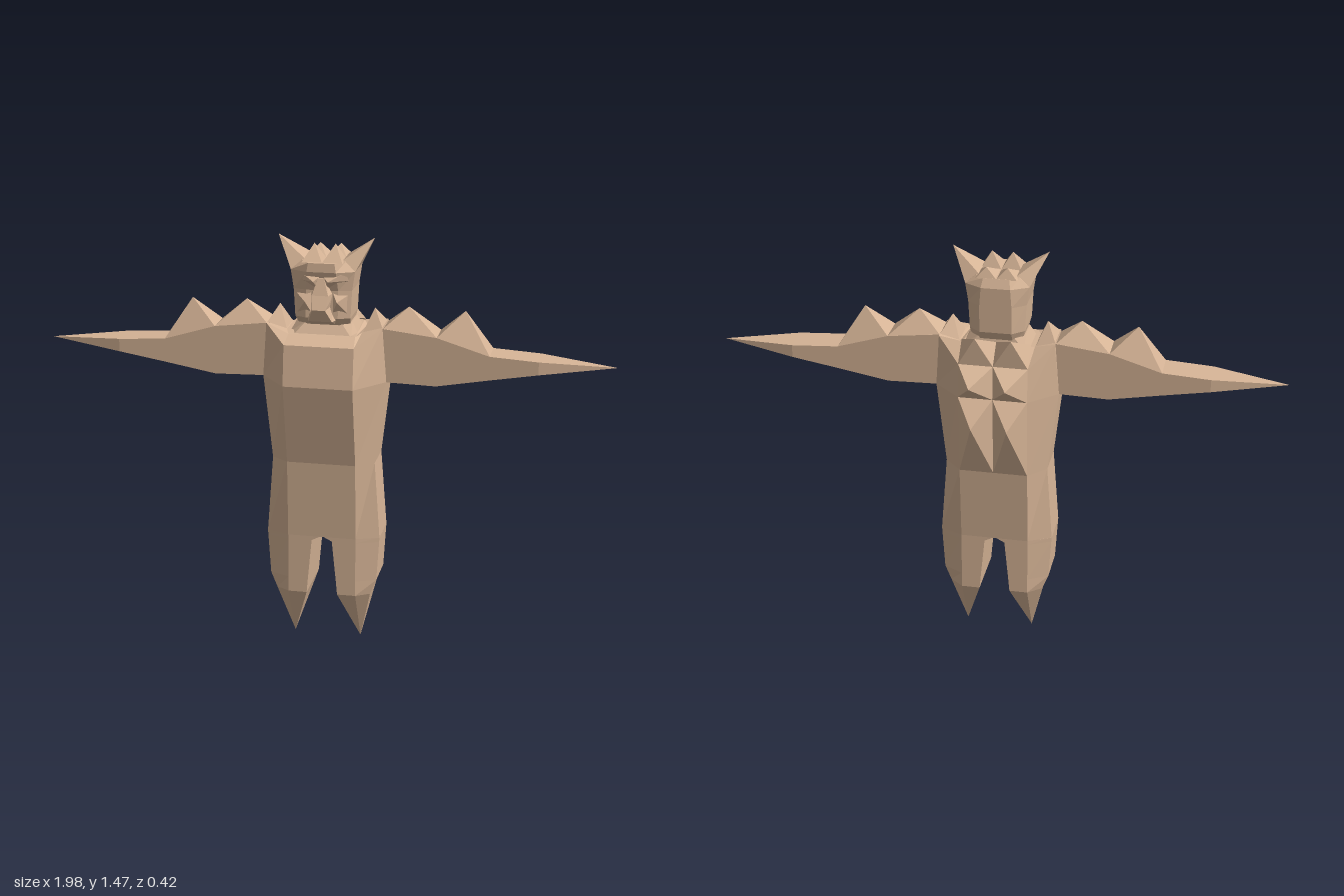
import * as THREE from 'three';

const skin = new THREE.MeshStandardMaterial({ color: 0xd6b496, flatShading: true });
skin.name = 'tan skin';

// Skin cross-sections, counterclockwise seen from the last one; a one-point ring is a tip
function loft(rings) {
  const n = Math.max(...rings.map((r) => r.length));
  const full = rings.map((r) => (r.length === 1 ? Array(n).fill(r[0]) : r));
  const out = [];
  const tri = (a, b, c) => {
    if (a !== b && b !== c && c !== a) out.push(...a, ...b, ...c);
  };
  for (let k = 0; k < full.length - 1; k++) {
    for (let i = 0; i < n; i++) {
      const j = (i + 1) % n;
      const a = full[k], b = full[k + 1];
      tri(a[i], a[j], b[j]);
      tri(a[i], b[j], b[i]);
    }
  }
  const first = full[0], last = full[full.length - 1];
  for (let i = 1; i < n - 1; i++) {
    tri(first[0], first[i + 1], first[i]);
    tri(last[0], last[i], last[i + 1]);
  }
  const geo = new THREE.BufferGeometry();
  geo.setAttribute('position', new THREE.Float32BufferAttribute(out, 3));
  geo.computeVertexNormals();
  return geo;
}

const flip = (ring) => ring.map(([x, y, z]) => [-x, y, z]).reverse();

// Horizontal octagon: front/back half width, side half width, four depths
function octagon(y, fx, sx, zf, zsf, zsb, zb, ySide = y, yBack = y) {
  const half = [[fx, y, zf], [sx, ySide, zsf], [sx, ySide, zsb], [fx, yBack, zb]];
  return [...half, ...flip(half)];
}

export function createModel() {
  const model = new THREE.Group();
  const add = (name, rings) => {
    const mesh = new THREE.Mesh(loft(rings), skin);
    mesh.name = name;
    model.add(mesh);
  };
  const pair = (name, rings) => {
    add(name + 'Left', rings);
    add(name + 'Right', rings.map(flip));
  };

  // Torso, from crotch to collar
  add('torso', [
    octagon(0.415, 0.12, 0.2, 0.14, 0.11, -0.035, -0.075),
    octagon(0.69, 0.12, 0.18, 0.15, 0.105, -0.03, -0.095),
    octagon(0.98, 0.12, 0.215, 0.21, 0.09, -0.02, -0.11),
    octagon(1.12, 0.12, 0.2, 0.19, 0.1, -0.035, -0.1, 1.17, 1.1),
    octagon(1.145, 0.115, 0.13, 0.135, 0.09, -0.02, -0.045, 1.15, 1.16),
  ]);

  // Pointed legs
  const legRing = (y, inner, fx, sx) => [
    [inner, y, 0.14], [fx, y, 0.14], [sx, y, 0.11],
    [sx, y, -0.035], [fx, y, -0.075], [inner, y, -0.075],
  ];
  pair('leg', [
    [[0.12, 0, 0.03]],
    legRing(0.2, 0.055, 0.12, 0.168),
    legRing(0.255, 0.05, 0.12, 0.19),
    legRing(0.4, 0.036, 0.12, 0.199),
    legRing(0.416, 0.005, 0.12, 0.2),
  ]);

  // Arms tapering to a point
  const armRing = (x, lo, hi) => [[x, lo, 0.09], [x, lo, -0.02], [x, hi, -0.02], [x, hi, 0.09]];
  pair('arm', [
    armRing(0.19, 0.98, 1.168),
    armRing(0.385, 0.975, 1.145),
    armRing(0.565, 1.007, 1.09),
    armRing(0.73, 1.035, 1.08),
    [[0.99, 1.06, 0.035]],
  ]);

  // Spikes along shoulders and arms: inner x,y, outer x,y, tip x,y
  const armSpikes = [
    [0.13, 1.145, 0.2, 1.168, 0.165, 1.225],
    [0.2, 1.165, 0.385, 1.145, 0.282, 1.235],
    [0.385, 1.145, 0.565, 1.09, 0.475, 1.23],
  ];
  armSpikes.forEach(([x0, y0, x1, y1, tx, ty], i) => {
    pair('armSpike' + (i + 1), [
      [[x0, y0, 0.09], [x1, y1, 0.09], [x1, y1, -0.02], [x0, y0, -0.02]],
      [[tx, ty, 0.035]],
    ]);
  });

  // Two columns of back spikes: lower y,z, upper y,z, tip y,z
  const backSpikes = [
    [1.1, -0.1, 1.165, -0.04, 1.2, -0.105],
    [0.98, -0.11, 1.1, -0.1, 1.06, -0.21],
    [0.69, -0.095, 0.98, -0.11, 0.895, -0.182],
  ];
  backSpikes.forEach(([y0, z0, y1, z1, ty, tz], i) => {
    pair('backSpike' + (i + 1), [
      [[0.12, y0, z0], [0, y0, z0], [0, y1, z1], [0.12, y1, z1]],
      [[0.062, ty, tz]],
    ]);
  });

  // Neck and head
  add('neck', [
    octagon(1.14, 0.1, 0.12, 0.13, 0.09, -0.02, -0.045),
    octagon(1.185, 0.06, 0.095, 0.1, 0.08, -0.01, -0.035),
  ]);
  add('head', [
    octagon(1.17, 0.055, 0.088, 0.1, 0.08, -0.01, -0.035),
    octagon(1.205, 0.055, 0.095, 0.135, 0.115, -0.02, -0.055),
    octagon(1.3, 0.055, 0.1, 0.128, 0.115, -0.02, -0.055),
    octagon(1.365, 0.05, 0.11, 0.145, 0.115, -0.02, -0.055),
    octagon(1.395, 0.045, 0.075, 0.142, 0.1, -0.015, -0.04),
  ]);

  // Large side horns
  pair('horn', [
    [[0.11, 1.365, 0.115], [0.11, 1.365, -0.02], [0.06, 1.395, -0.015], [0.06, 1.395, 0.1]],
    [[0.165, 1.47, 0.05]],
  ]);

  // Small crown spikes, front and back
  [[0.13, 0.05, 1.45, 0.075], [0.05, -0.04, 1.43, -0.025]].forEach(([zf, zb, ty, tz], i) => {
    pair('crownSpike' + (i + 1), [
      [[0, 1.393, zf], [0.07, 1.393, zf], [0.07, 1.393, zb], [0, 1.393, zb]],
      [[0.036, ty, tz]],
    ]);
  });

  // Slanted brows
  pair('brow', [
    [[0.01, 1.3, 0.127], [0.09, 1.335, 0.12], [0.08, 1.365, 0.128], [0.005, 1.35, 0.138]],
    [[0.025, 1.335, 0.157]],
  ]);

  // Muzzle with nose, narrowing upwards
  const muzzleRing = (y, w, z) => [[w, y, z], [w * 1.4, y, 0.1], [-w * 1.4, y, 0.1], [-w, y, z]];
  add('muzzle', [
    muzzleRing(1.18, 0.04, 0.11),
    muzzleRing(1.2, 0.04, 0.16),
    muzzleRing(1.245, 0.022, 0.188),
    muzzleRing(1.29, 0.028, 0.165),
    muzzleRing(1.345, 0.01, 0.145),
  ]);

  // Cheeks
  pair('cheek', [
    [[0.03, 1.21, 0.125], [0.09, 1.215, 0.115], [0.095, 1.29, 0.112], [0.035, 1.295, 0.125]],
    [[0.055, 1.265, 0.152]],
  ]);

  return model;
}
